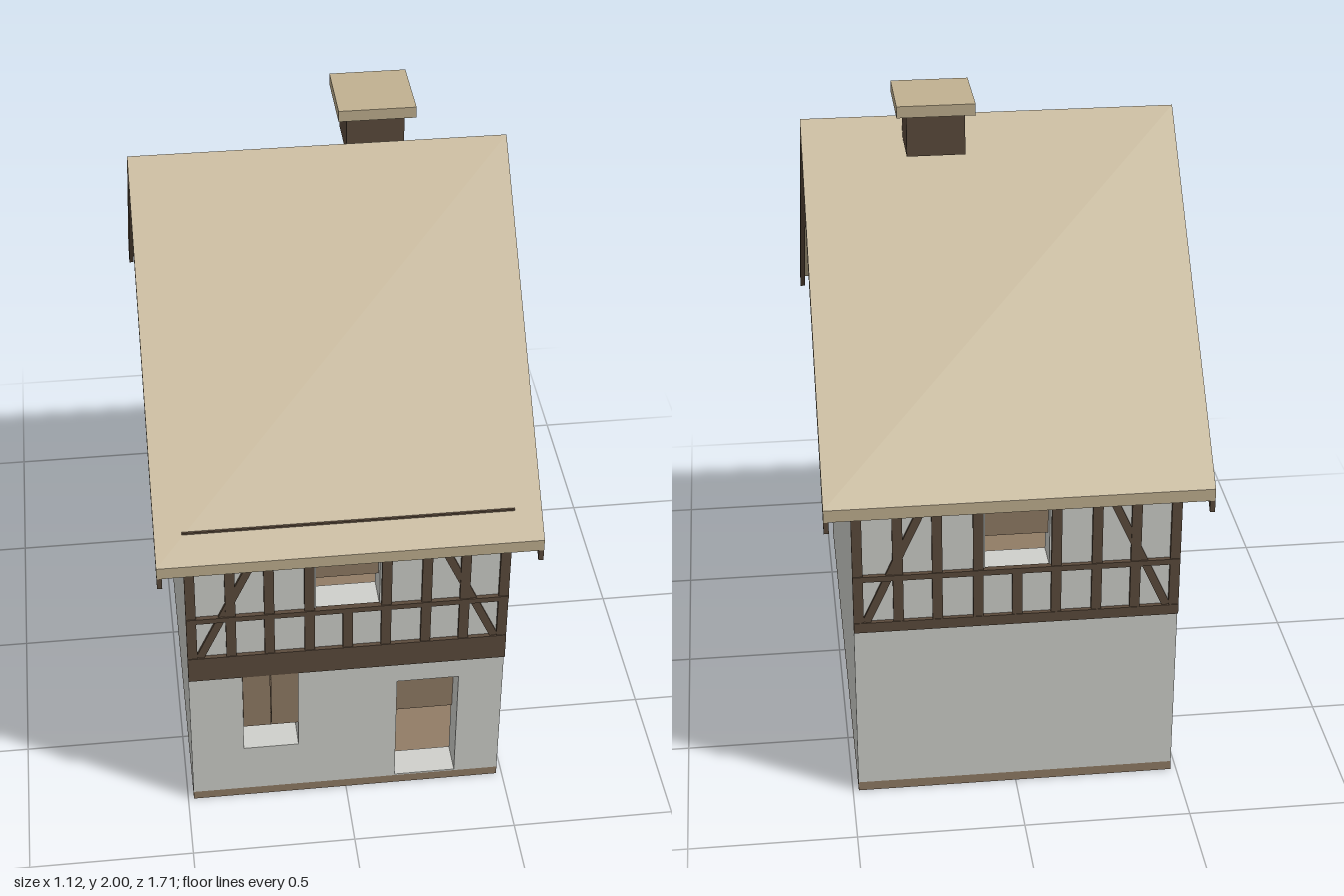
import * as THREE from 'three';

const material = (name, color) => {
  const m = new THREE.MeshStandardMaterial({ color });
  m.name = name;
  return m;
};

export function createModel() {
  const plaster = material('plaster', 0xcfd0cb);
  const timber = material('dark timber', 0x5c4b3c);
  const board = material('brown boards', 0x917c65);
  const thatch = material('straw roof', 0xc1b190);

  const house = new THREE.Group();
  house.name = 'house';
  const HX = 0.4825, HZ = 0.775, WALL = 0.06, DEEP = 0.1;

  const add = (parent, name, geometry, mat) => {
    const mesh = new THREE.Mesh(geometry, mat);
    mesh.name = name;
    parent.add(mesh);
    return mesh;
  };
  // Box given by its limits on each axis
  const box = (parent, name, mat, x0, x1, y0, y1, z0, z1) => {
    const mesh = add(parent, name, new THREE.BoxGeometry(x1 - x0, y1 - y0, z1 - z0), mat);
    mesh.position.set((x0 + x1) / 2, (y0 + y1) / 2, (z0 + z1) / 2);
    return mesh;
  };
  const group = (name) => {
    const g = new THREE.Group();
    g.name = name;
    house.add(g);
    return g;
  };
  const outline = (pts) => new THREE.Shape(pts.map(([x, y]) => new THREE.Vector2(x, y)));
  // Profile in (z, y) extruded along x from x0 to x1
  const extrudeAlongX = (parent, name, mat, pts, x0, x1) => {
    const g = new THREE.ExtrudeGeometry(outline(pts), { depth: x1 - x0, bevelEnabled: false });
    g.rotateY(Math.PI / 2);
    g.translate(x0, 0, 0);
    return add(parent, name, g, mat);
  };

  // Floor slab
  box(house, 'base', board, -HX, HX, 0, 0.03, -HZ, HZ);

  // Gable walls
  const gable = [[-HZ, 0.03], [HZ, 0.03], [HZ, 1.075], [0, 1.85], [-HZ, 1.075]];
  extrudeAlongX(house, 'leftGableWall', plaster, gable, HX - WALL, HX);
  extrudeAlongX(house, 'rightGableWall', plaster, gable, -HX, -HX + WALL);

  // Front and back walls with their openings
  const upperWindow = [-0.095, 0.095, 0.765, 1.06];
  const frontWindow = [-0.32, -0.15, 0.205, 0.52];
  const doorway = [0.155, 0.345, 0.035, 0.44];
  const eaveWall = (name, openings, z) => {
    const w = HX - WALL;
    const shape = outline([[-w, 0.03], [w, 0.03], [w, 1.075], [-w, 1.075]]);
    for (const [x0, x1, y0, y1] of openings) {
      shape.holes.push(outline([[x0, y0], [x0, y1], [x1, y1], [x1, y0]]));
    }
    const g = new THREE.ExtrudeGeometry(shape, { depth: DEEP, bevelEnabled: false });
    add(house, name, g, plaster).position.z = z;
  };
  eaveWall('frontWall', [upperWindow, frontWindow, doorway], HZ - DEEP);
  eaveWall('backWall', [upperWindow], -HZ);

  // Half-timbering, built facing +z and turned round for the back
  const timberFrame = (name, sillBottom) => {
    const f = group(name);
    const z0 = HZ - 0.005, z1 = HZ + 0.011;
    box(f, 'sillBeam', timber, -HX, HX, sillBottom, 0.61, z0, z1 + 0.002);
    box(f, 'rail', timber, -HX, HX, 0.75, 0.768, z0, z1 + 0.003);
    for (const s of [-1, 1]) {
      for (const x of [0.115, 0.235, 0.35, 0.4675]) {
        box(f, 'post', timber, s * x - 0.015, s * x + 0.015, 0.61, 1.06, z0, z1);
      }
      // Slanting brace between the two outer bays
      const a = new THREE.Vector2(s * 0.445, 0.61), b = new THREE.Vector2(s * 0.25, 1.04);
      const brace = add(f, 'brace', new THREE.BoxGeometry(0.024, a.distanceTo(b), 0.014), timber);
      brace.position.set((a.x + b.x) / 2, (a.y + b.y) / 2, HZ + 0.002);
      brace.rotation.z = Math.atan2(a.x - b.x, b.y - a.y);
      // Upper window leaf
      box(f, 'upperShutter', board, Math.min(0, s * 0.095), Math.max(0, s * 0.095),
        0.855, 1.055, HZ - 0.045, HZ - 0.035);
    }
    box(f, 'shortPost', timber, -0.015, 0.015, 0.61, 0.75, z0, z1);
    box(f, 'windowStub', timber, -0.015, 0.015, 0.96, 1.06, z0, z1);
    return f;
  };
  timberFrame('frontTimberFrame', 0.52);
  timberFrame('backTimberFrame', 0.577).rotation.y = Math.PI;
  // Top beam, its edge just breaking through the roof slope
  box(house, 'topBeam', timber, -HX, HX, 1.045, 1.106, HZ, HZ + 0.015);

  // Ground floor shutters
  const shutters = group('frontShutters');
  box(shutters, 'shutterRight', board, -0.32, -0.236, 0.31, 0.522, HZ - 0.01, HZ + 0.01);
  box(shutters, 'shutterLeft', board, -0.234, -0.15, 0.31, 0.522, HZ - 0.01, HZ + 0.01);
  box(shutters, 'innerPanel', board, -0.32, -0.195, 0.205, 0.31, 0.62, 0.63);

  // Split door with its lower half open
  box(house, 'doorUpperHalf', board, 0.155, 0.345, 0.235, 0.44, HZ - DEEP, HZ - DEEP + 0.015);

  // Roof and barge boards: chevrons of equal vertical thickness
  const chevron = (top, bottom, z) => [
    [-z, top - z], [-z, bottom - z], [0, bottom], [z, bottom - z], [z, top - z], [0, top],
  ];
  extrudeAlongX(house, 'roof', thatch, chevron(1.89, 1.852, 0.855), -0.5625, 0.5625);
  const barge = chevron(1.852, 1.815, 0.855);
  extrudeAlongX(house, 'leftBargeBoard', timber, barge, 0.5475, 0.5625);
  extrudeAlongX(house, 'rightBargeBoard', timber, barge, -0.5625, -0.5475);

  // Chimney
  const chimney = group('chimney');
  box(chimney, 'chimneyStack', timber, 0.088, 0.26, 1.835, 1.965, -0.202, -0.03);
  box(chimney, 'chimneyCap', thatch, 0.06, 0.29, 1.965, 2, -0.23, 0);

  return house;
}
